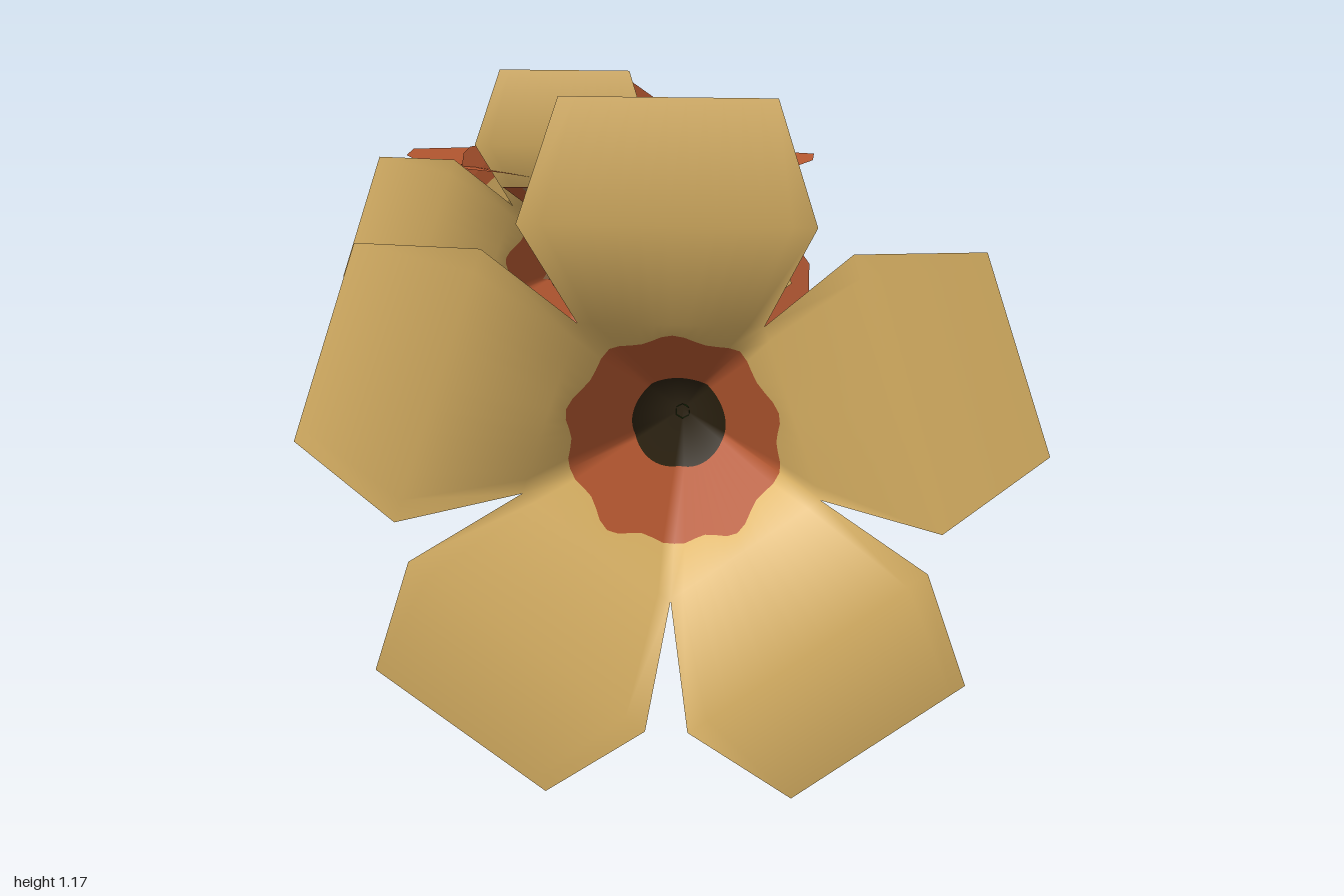
import * as THREE from 'three';
import { mergeVertices } from 'three/addons/utils/BufferGeometryUtils.js';

const mat = (name, color) => new THREE.MeshStandardMaterial({ name, color, side: THREE.DoubleSide });
const YELLOW = 0, RED = 1, BLACK = 2, BROWN = 3, BLUE = 4;

// Collects quads per colour from a grid of rows, turned around the flower axis
function addPetal(buckets, rows, angle, colourOf) {
  const axis = new THREE.Vector3(0, 0, 1);
  const grid = rows.map(r => r.map(p => new THREE.Vector3(...p).applyAxisAngle(axis, angle)));
  for (let i = 0; i + 1 < grid.length; i++) {
    for (let j = 0; j + 1 < grid[i].length; j++) {
      const a = grid[i][j], b = grid[i][j + 1], c = grid[i + 1][j + 1], d = grid[i + 1][j];
      const out = buckets[colourOf(i, j)];
      if (a.distanceTo(b) > 1e-6) out.push(a, b, c);
      if (c.distanceTo(d) > 1e-6) out.push(a, c, d);
    }
  }
}

function bucketsToMesh(buckets, materials, smooth, name) {
  let geo = new THREE.BufferGeometry().setFromPoints(buckets.flat());
  let start = 0;
  buckets.forEach((b, i) => {
    if (b.length) geo.addGroup(start, b.length, i);
    start += b.length;
  });
  if (smooth) geo = mergeVertices(geo, 1e-4);
  geo.computeVertexNormals();
  const mesh = new THREE.Mesh(geo, materials);
  mesh.name = name;
  return mesh;
}

// Five-petalled trumpet flower, tip at the origin, opening towards +z
function trumpetFlower(materials, name) {
  const buckets = [[], [], [], [], []];
  const N = 12, slope = 0.28 / 0.21, half = Math.PI / 5;
  const arc = radius => Array.from({ length: N + 1 }, (_, j) => {
    const t = (j / N * 2 - 1) * half, r = radius(t);
    return [r * Math.sin(t), r * Math.cos(t), r * Math.cos(t) * slope];
  });
  const line = (w, v, h) => Array.from({ length: N + 1 }, (_, j) => [(j / N * 2 - 1) * w, v, h]);
  const rows = [
    line(0, 0, 0),
    arc(() => 0.08),
    arc(t => 0.178 + 0.007 * Math.cos(t * 10)),
    line(0.21 * Math.tan(half), 0.21, 0.28),
    line(0.24, 0.39, 0.37),
    line(0.175, 0.59, 0.335),
  ];
  const colours = [BLACK, RED, YELLOW, YELLOW, YELLOW];
  for (let k = 0; k < 5; k++) addPetal(buckets, rows, k * half * 2, i => colours[i]);
  return bucketsToMesh(buckets, materials, true, name);
}

// Bowl flower: four broad outer petals and four inner petals between them
function bowlFlower(materials, name) {
  const buckets = [[], [], [], [], []];
  const grid = (profile, cols) => profile.map(([v, w, h]) => cols.map(c => [c * w, v, h]));
  const outer = grid([[0, 0, 0], [0.025, 0.022, 0.018], [0.1, 0.085, 0.075], [0.125, 0.105, 0.095],
    [0.3, 0.19, 0.205], [0.33, 0.19, 0.212], [0.435, 0.045, 0.23]], [-1, -0.8, 0.8, 1]);
  const outerMid = [BLACK, BLUE, BLACK, BROWN, RED, RED];
  const outerSide = [BLACK, BLACK, BLACK, RED, RED, RED];
  const inner = grid([[0, 0, 0.01], [0.05, 0.02, 0.05], [0.106, 0.035, 0.1], [0.255, 0.14, 0.215],
    [0.31, 0.105, 0.228], [0.343, 0.075, 0.235], [0.39, 0.01, 0.24]], [-1, 0, 1]);
  const innerCol = [RED, BLACK, YELLOW, YELLOW, RED, RED];
  for (let k = 0; k < 4; k++) {
    const a = k * Math.PI / 2;
    addPetal(buckets, outer, a, (i, j) => (j === 1 ? outerMid : outerSide)[i]);
    addPetal(buckets, inner, a + Math.PI / 4, i => innerCol[i]);
  }
  return bucketsToMesh(buckets, materials, false, name);
}

export function createModel() {
  const model = new THREE.Group();
  const materials = [
    mat('petal yellow', 0xdfb666), mat('rust red', 0xb65830), mat('dark centre', 0x2c2210),
    mat('dusty brown', 0xa67a54), mat('slate blue', 0x34445a),
  ];
  const green = mat('stem green', 0x20400f);

  // Large flower at the front end of the stem
  const front = trumpetFlower(materials, 'frontFlower');
  front.position.set(0.083, 0.58, 0.63);
  model.add(front);

  // Smaller matching flower at the back end
  const small = trumpetFlower(materials, 'smallFlower');
  small.scale.setScalar(0.76);
  small.position.set(-0.23, 0.603, -0.552);
  model.add(small);

  // Two bowl flowers, one facing up and one facing forward
  const up = bowlFlower(materials, 'upwardFlower');
  up.rotation.x = -Math.PI / 2;
  up.position.set(-0.163, 0.607, -0.565);
  const forward = bowlFlower(materials, 'forwardFlower');
  forward.position.set(-0.163, 0.603, -0.575);
  model.add(up, forward);

  // Stem in straight segments
  const path = new THREE.CurvePath();
  const pts = [[0.083, 0.58, 0.65], [0.103, 0.575, 0.2], [0.005, 0.595, -0.23], [-0.163, 0.605, -0.565]]
    .map(p => new THREE.Vector3(...p));
  for (let i = 0; i < 3; i++) path.add(new THREE.LineCurve3(pts[i], pts[i + 1]));
  const stem = new THREE.Mesh(new THREE.TubeGeometry(path, 24, 0.013, 6), green);
  stem.name = 'stem';
  model.add(stem);

  return model;
}
